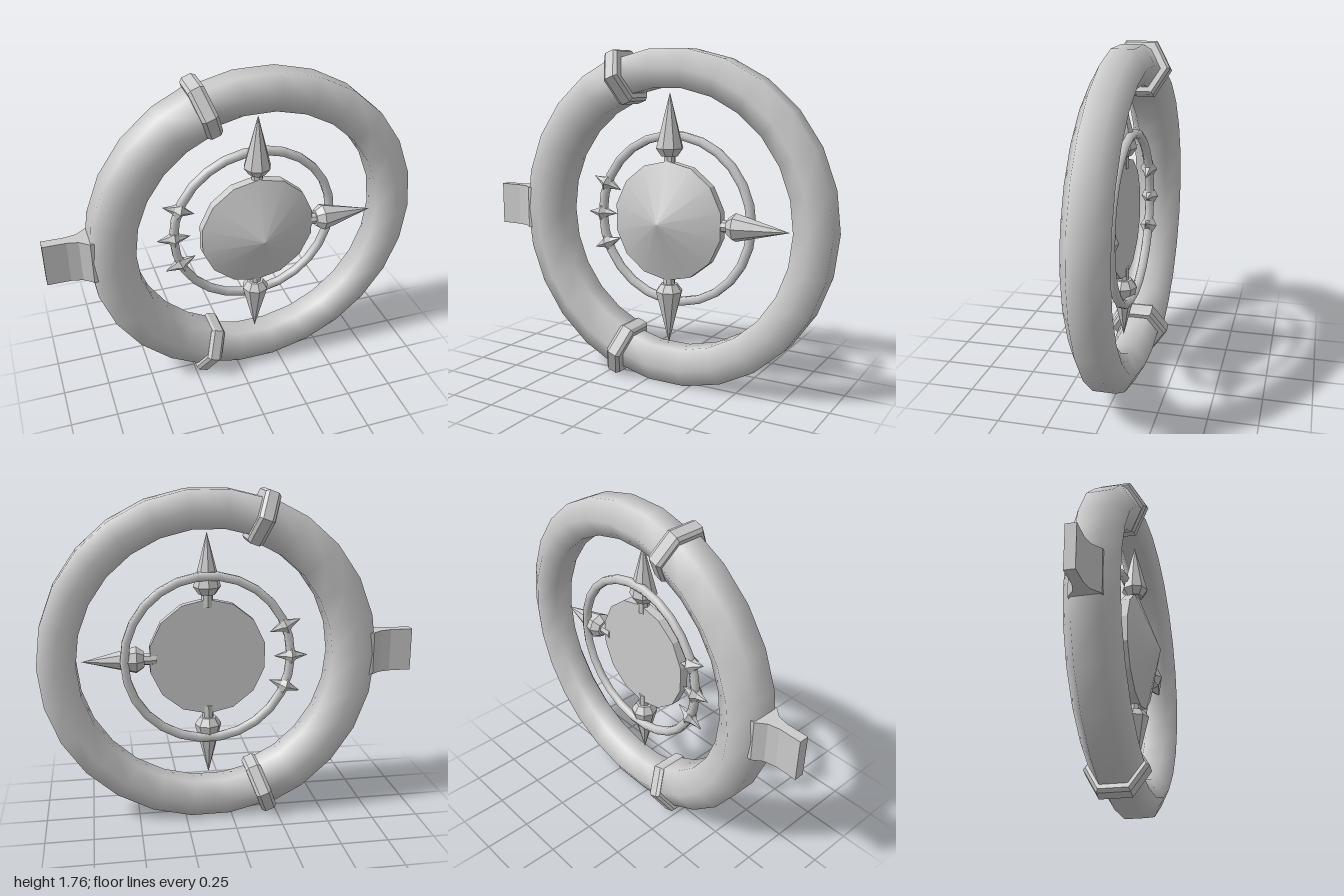
import * as THREE from 'three';
import { mergeVertices } from 'three/addons/utils/BufferGeometryUtils.js';

const CX = 0.114, CY = 0.88, Z = -0.006; // centre of all rings
const STEP = (Math.PI * 2) / 26;

const smoothMat = new THREE.MeshStandardMaterial({ color: 0xcccccc });
const flatMat = new THREE.MeshStandardMaterial({ color: 0xcccccc, flatShading: true });

// Smooth ring arc with a polygonal section whose tips point along z
function ringArc(radius, tube, sides, from, steps, step) {
  const pts = [];
  for (let i = 0; i <= sides; i++) {
    const a = Math.PI / 2 + (i / sides) * Math.PI * 2;
    pts.push(new THREE.Vector2(radius + Math.cos(a) * tube, Math.sin(a) * tube));
  }
  let g = new THREE.LatheGeometry(pts, steps, from + Math.PI / 2, steps * step);
  g.rotateX(Math.PI / 2);
  g.deleteAttribute('uv');
  g.deleteAttribute('normal');
  g = mergeVertices(g, 1e-4);
  g.computeVertexNormals();
  return g;
}

const lathe = (profile, sides) =>
  new THREE.LatheGeometry(profile.map(([r, y]) => new THREE.Vector2(r, y)), sides);

export function createModel() {
  const model = new THREE.Group();
  const add = (name, geometry, material, x = CX, y = CY, z = Z, turn = 0) => {
    const mesh = new THREE.Mesh(geometry, material);
    mesh.name = name;
    mesh.position.set(x, y, z);
    mesh.rotation.z = turn;
    model.add(mesh);
    return mesh;
  };

  // Outer ring: slimmer right arc and thicker left arc
  add('outerRingThin', ringArc(0.787, 0.114, 6, -8 * STEP, 16, STEP), smoothMat);
  add('outerRingThick', ringArc(0.778, 0.137, 6, 8 * STEP, 10, STEP), smoothMat);

  // Hexagonal bands covering the joints
  const band = lathe([[0, -0.042], [0.148, -0.042], [0.163, -0.025],
    [0.163, 0.025], [0.148, 0.042], [0, 0.042]], 6);
  for (const s of [-1, 1]) {
    const a = s * 8 * STEP;
    add('ringBand', band, flatMat, CX + Math.cos(a) * 0.787, CY + Math.sin(a) * 0.787, Z, a);
  }

  // Mounting tab, flaring where it meets the ring
  const tab = new THREE.Shape([[-1, -0.027], [-0.88, -0.027], [-0.82, -0.04], [-0.77, -0.08],
    [-0.7, -0.08], [-0.7, 0.08], [-0.77, 0.08], [-0.82, 0.04], [-0.88, 0.027], [-1, 0.027]]
    .map(([x, y]) => new THREE.Vector2(x, y)));
  const tabGeo = new THREE.ExtrudeGeometry(tab, { depth: 0.23, bevelEnabled: false });
  tabGeo.translate(0, 0, -0.115).rotateX(Math.PI / 2);
  add('mountingTab', tabGeo, flatMat, 0, 0.885, Z);

  // Inner ring
  add('innerRing', ringArc(0.442, 0.025, 6, 0, 26, STEP), smoothMat, CX, CY, -0.025);

  // Central disc with a shallow conical face
  const rim = new THREE.CylinderGeometry(0.314, 0.314, 0.05, 14).rotateX(Math.PI / 2);
  add('discBody', rim, flatMat, CX, CY, 0.025);
  const face = new THREE.ConeGeometry(0.314, 0.112, 14, 1, true).rotateX(Math.PI / 2);
  add('discFace', face, smoothMat, CX, CY, 0.106);

  // Long pointers: up, right and down
  const pointer = lathe([[0, 0.27], [0.031, 0.27], [0.031, 0.338], [0.045, 0.338],
    [0.073, 0.378], [0, 0.662]], 8);
  for (const a of [0, 1, -1]) {
    add('pointer', pointer, flatMat, CX, CY, 0.02, (a * Math.PI) / 2 - Math.PI / 2);
  }

  // Small double-ended studs on the left of the inner ring
  const stud = lathe([[0, -0.092], [0.024, -0.028], [0.048, 0], [0.024, 0.028], [0, 0.092]], 6);
  for (const k of [-1, 0, 1]) {
    const a = Math.PI + k * 0.385;
    add('ringStud', stud, flatMat, CX + Math.cos(a) * 0.442, CY + Math.sin(a) * 0.442,
      -0.025, a - Math.PI / 2);
  }
  return model;
}
